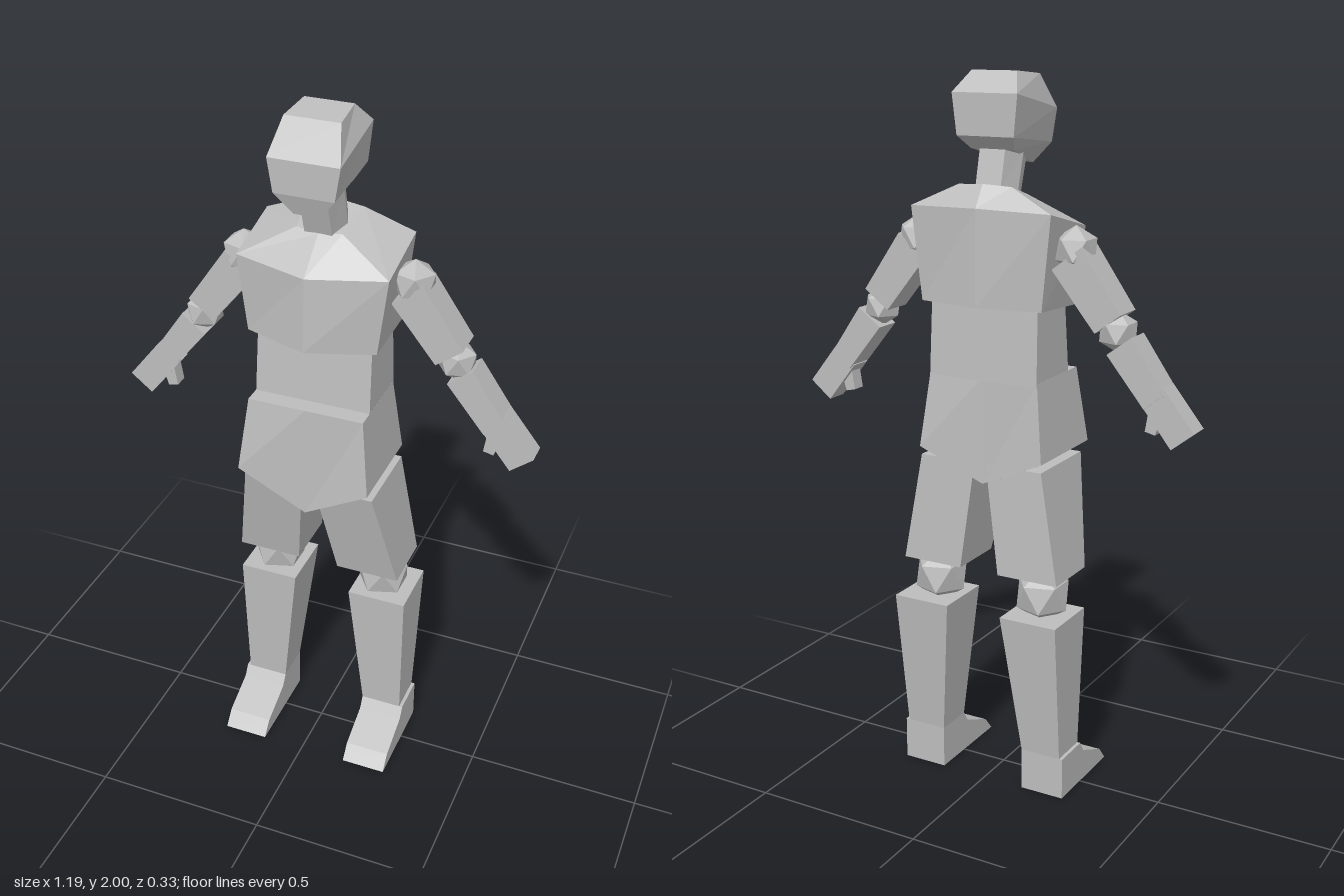
import * as THREE from 'three';

// Closed solid through rings of points listed bottom to top, each running
// counter-clockwise as seen from above.
function loft(rings) {
  const pos = [];
  const tri = (a, b, c) => pos.push(...a, ...b, ...c);
  const n = rings[0].length;
  for (let r = 0; r < rings.length - 1; r++) {
    const a = rings[r], b = rings[r + 1];
    for (let i = 0; i < n; i++) {
      const j = (i + 1) % n;
      tri(a[i], a[j], b[j]);
      tri(a[i], b[j], b[i]);
    }
  }
  const lo = rings[0], hi = rings[rings.length - 1];
  for (let i = 1; i < n - 1; i++) {
    tri(lo[0], lo[i + 1], lo[i]);
    tri(hi[0], hi[i], hi[i + 1]);
  }
  const g = new THREE.BufferGeometry();
  g.setAttribute('position', new THREE.Float32BufferAttribute(pos, 3));
  g.computeVertexNormals();
  return g;
}

// Four-sided ring; front and back may differ in height and half width.
const quad = (wf, yf, zf, wb, yb, zb) => [[wf, yf, zf], [wb, yb, zb], [-wb, yb, zb], [-wf, yf, zf]];

// Level rectangle between two x values, in either order.
function rect(y, xa, xb, zf, zb) {
  const lo = Math.min(xa, xb), hi = Math.max(xa, xb);
  return [[hi, y, zf], [hi, y, zb], [lo, y, zb], [lo, y, zf]];
}

// Six-sided ring with a crease down the middle of front and back.
const creased = (wf, yf, zf, ycf, zcf, wb, yb, zb, ycb, zcb) => [
  [0, ycf, zcf], [wf, yf, zf], [wb, yb, zb], [0, ycb, zcb], [-wb, yb, zb], [-wf, yf, zf],
];

export function createModel() {
  const root = new THREE.Group();
  root.name = 'figure';
  const grey = new THREE.MeshStandardMaterial({ color: 0xbdbdbd });
  grey.name = 'grey';

  function add(name, geometry, parent = root) {
    const m = new THREE.Mesh(geometry, grey);
    m.name = name;
    parent.add(m);
    return m;
  }

  // Ball joint with its poles pointing up and down
  function joint(name, r, x, y, z, parent) {
    const g = new THREE.IcosahedronGeometry(r, 0);
    g.rotateZ(-0.5536);
    add(name, g, parent).position.set(x, y, z);
  }

  // Tapered block from point a to point b in the plane of the arms
  const armZ = -0.045;
  function limb(name, a, b, wa, wb, depth, parent) {
    const dx = a[0] - b[0], dy = a[1] - b[1], h = Math.hypot(dx, dy) / 2;
    const m = add(name, loft([
      rect(-h, -wb / 2, wb / 2, depth / 2, -depth / 2),
      rect(h, -wa / 2, wa / 2, depth / 2, -depth / 2),
    ]), parent);
    m.position.set((a[0] + b[0]) / 2, (a[1] + b[1]) / 2, armZ);
    m.rotation.z = Math.atan2(-dx, dy);
  }

  // Head
  add('head', loft([
    quad(0.035, 1.755, 0.10, 0.065, 1.80, -0.06),
    quad(0.082, 1.81, 0.118, 0.085, 1.835, -0.10),
    quad(0.097, 1.90, 0.118, 0.097, 1.945, -0.103),
    quad(0.075, 1.99, 0.06, 0.067, 2.0, -0.05),
  ]));

  // Neck, leaning forward
  add('neck', loft([[1.67, 0.022, 1.70, -0.085], [1.78, 0.058, 1.81, -0.058]].map(
    ([yf, zf, yb, zb]) => {
      const ym = (yf + yb) / 2, zm = (zf + zb) / 2;
      return [
        [0.038, yf, zf], [0.06, ym, zm], [0.038, yb, zb],
        [-0.038, yb, zb], [-0.06, ym, zm], [-0.038, yf, zf],
      ];
    })));

  // Torso
  add('chest', loft([
    creased(0.182, 1.385, 0.07, 1.383, 0.13, 0.182, 1.395, -0.125, 1.395, -0.155),
    creased(0.21, 1.60, 0.07, 1.59, 0.12, 0.21, 1.65, -0.13, 1.655, -0.15),
    creased(0.063, 1.68, 0.015, 1.675, 0.025, 0.08, 1.71, -0.10, 1.715, -0.112),
  ]));
  add('abdomen', loft([
    rect(1.19, -0.165, 0.165, 0.068, -0.118),
    rect(1.39, -0.162, 0.162, 0.05, -0.108),
  ]));
  add('pelvis', loft([
    creased(0.19, 0.985, 0.145, 0.87, 0.123, 0.19, 0.985, -0.137, 0.90, -0.12),
    creased(0.165, 1.20, 0.118, 1.20, 0.118, 0.165, 1.20, -0.115, 1.20, -0.115),
  ]));

  // Side profile of the foot, as z and y
  const footShape = new THREE.Shape([
    [-0.115, 0], [0.165, 0], [0.13, 0.042], [0.02, 0.09], [0, 0.122], [-0.115, 0.122],
  ].map(([z, y]) => new THREE.Vector2(z, y)));

  for (const s of [1, -1]) {
    const side = s > 0 ? 'left' : 'right';

    // Arm
    const arm = new THREE.Group();
    arm.name = side + 'Arm';
    root.add(arm);
    joint('shoulderJoint', 0.062, s * 0.24, 1.555, armZ, arm);
    limb('upperArm', [s * 0.235, 1.535], [s * 0.355, 1.375], 0.105, 0.09, 0.094, arm);
    joint('elbowJoint', 0.056, s * 0.365, 1.35, armZ, arm);
    limb('forearm', [s * 0.385, 1.32], [s * 0.487, 1.185], 0.085, 0.072, 0.08, arm);
    limb('hand', [s * 0.478, 1.198], [s * 0.566, 1.088], 0.08, 0.08, 0.066, arm);
    limb('thumb', [s * 0.487, 1.17], [s * 0.47, 1.095], 0.04, 0.03, 0.04, arm);

    // Leg
    const leg = new THREE.Group();
    leg.name = side + 'Leg';
    leg.position.x = 0.007;
    root.add(leg);
    add('thigh', loft([
      rect(0.645, s * 0.06, s * 0.243, 0.045, -0.13),
      rect(0.957, s * 0.018, s * 0.188, 0.12, -0.12),
    ]), leg);
    joint('kneeJoint', 0.082, s * 0.165, 0.587, -0.06, leg);
    add('shin', loft([
      rect(0.122, s * 0.13, s * 0.25, 0, -0.115),
      rect(0.535, s * 0.085, s * 0.257, 0.017, -0.163),
    ]), leg);
    const foot = new THREE.ExtrudeGeometry(footShape, { depth: 0.13, bevelEnabled: false });
    foot.rotateY(-Math.PI / 2);
    foot.translate(0.065, 0, 0);
    add('foot', foot, leg).position.x = s * 0.195;
  }
  return root;
}
